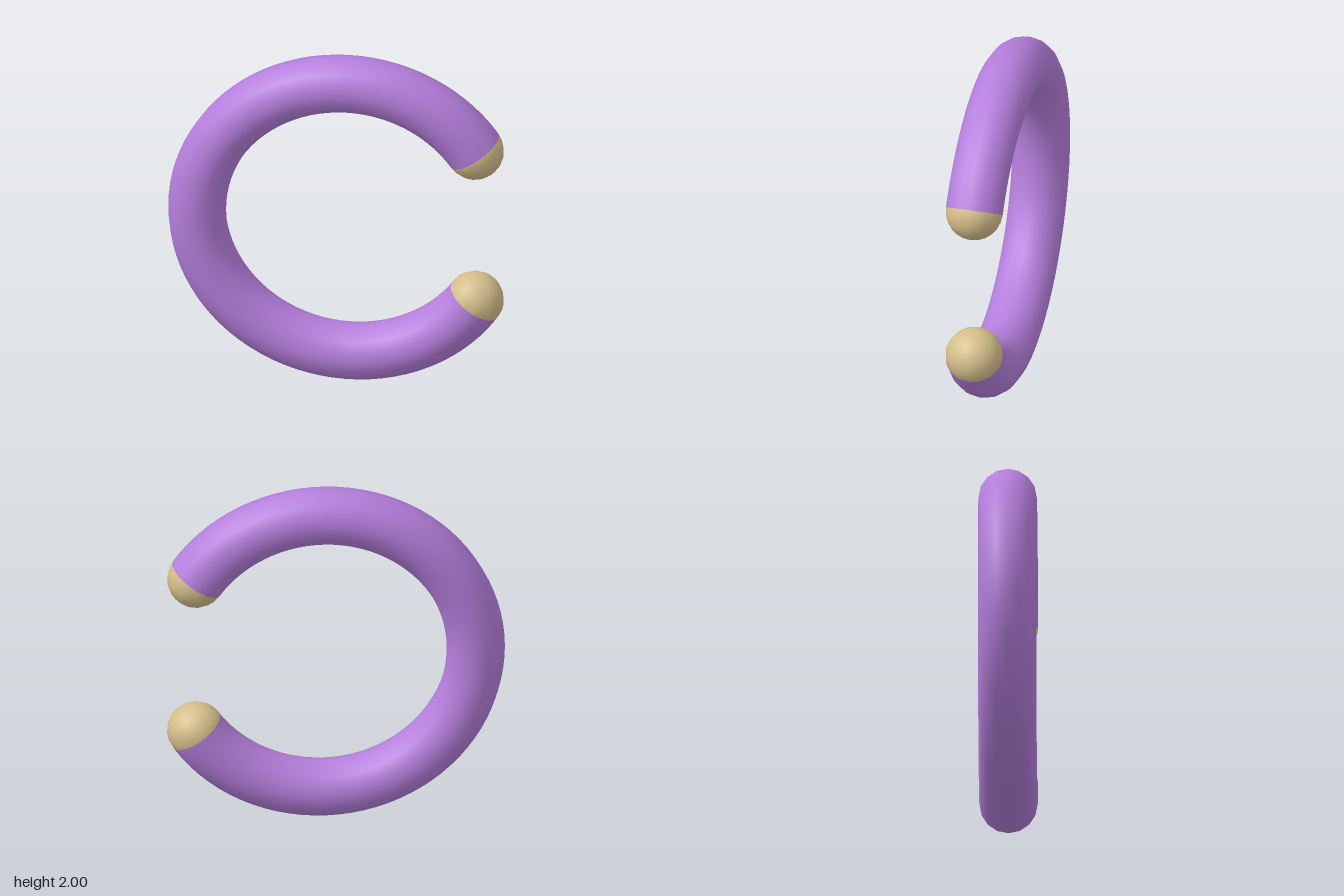
import * as THREE from 'three';

const RING = 0.84;                          // centre line radius
const TUBE = 0.16;                          // tube radius
const GAP = THREE.MathUtils.degToRad(34);   // half of the opening angle
const SIDES = 16;

export function createModel() {
  const purple = new THREE.MeshStandardMaterial({ color: 0xb57edc });
  purple.name = 'lavender';
  const gold = new THREE.MeshStandardMaterial({ color: 0xd4be8a });
  gold.name = 'pale gold';

  const model = new THREE.Group();
  model.name = 'openRing';
  model.position.set(0.07, 1, 0);

  // Open ring, with the gap centred on +x
  const ring = new THREE.Mesh(
    new THREE.TorusGeometry(RING, TUBE, SIDES, 72, 2 * Math.PI - 2 * GAP), purple);
  ring.name = 'ring';
  ring.rotation.z = GAP;
  model.add(ring);

  // Rounded caps closing the two ends, each pointing into the gap
  const capGeometry = new THREE.SphereGeometry(TUBE, SIDES, 6, 0, 2 * Math.PI, 0, Math.PI / 2);
  for (const side of [1, -1]) {
    const cap = new THREE.Mesh(capGeometry, gold);
    cap.name = side > 0 ? 'upperEndCap' : 'lowerEndCap';
    cap.position.set(RING * Math.cos(GAP), side * RING * Math.sin(GAP), 0);
    cap.rotation.z = side > 0 ? GAP - Math.PI : -GAP;
    model.add(cap);
  }

  const root = new THREE.Group();
  root.add(model);
  return root;
}
